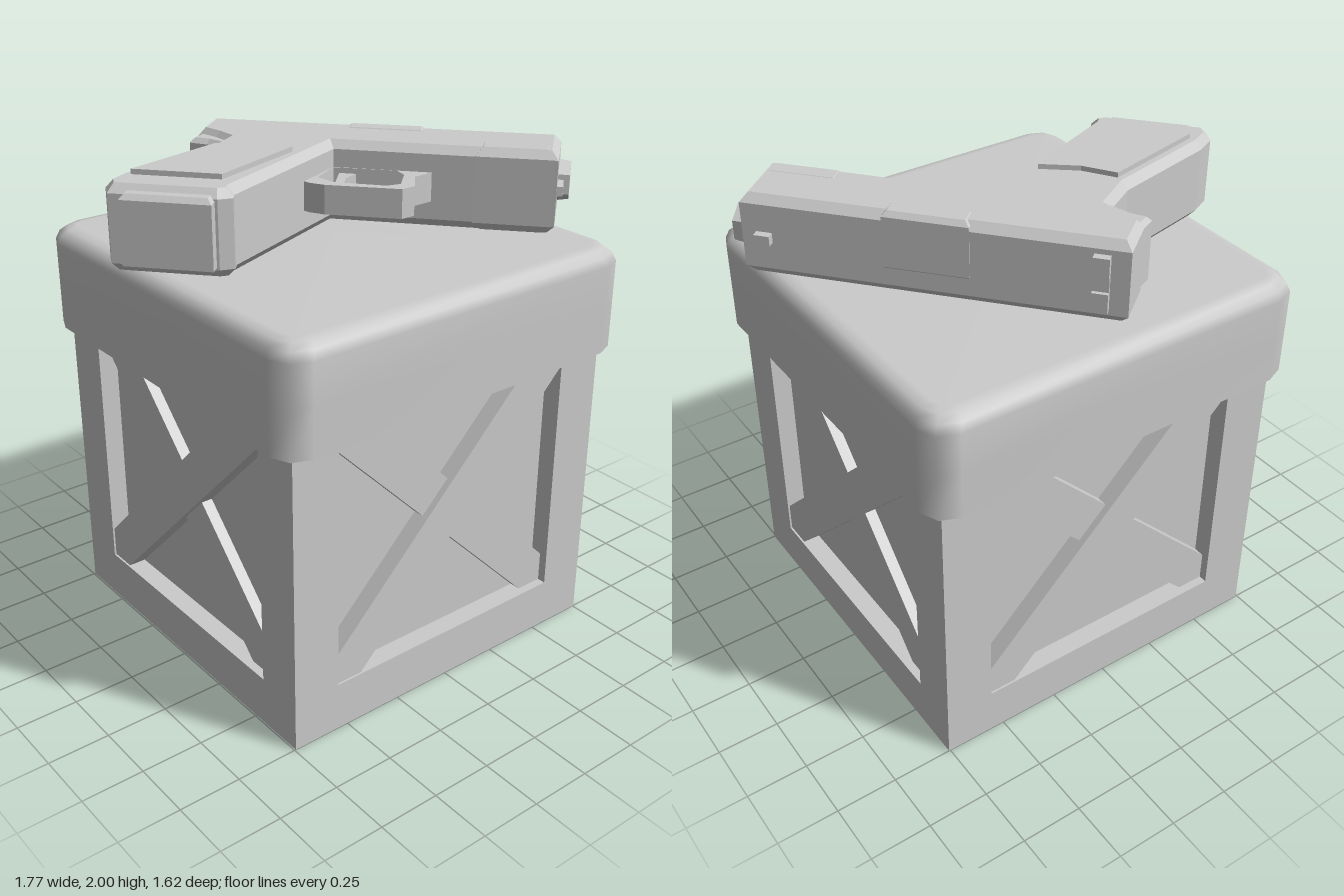
import * as THREE from 'three';
import { mergeGeometries } from 'three/addons/utils/BufferGeometryUtils.js';

const flat = new THREE.MeshStandardMaterial({ color: 0xcccccc, flatShading: true });
const shell = new THREE.MeshStandardMaterial({ color: 0xcccccc, flatShading: true, side: THREE.DoubleSide });
const smooth = new THREE.MeshStandardMaterial({ color: 0xcccccc, side: THREE.DoubleSide });

function add(parent, name, geometry, material = flat) {
  const mesh = new THREE.Mesh(geometry, material);
  mesh.name = name;
  parent.add(mesh);
  return mesh;
}

const toPoints = (list) => list.map(([x, y]) => new THREE.Vector2(x, y));

// Outline extruded from z0 to z1, chamfered inwards by bevel
function slab(points, z0, z1, bevel = 0, hole) {
  const shape = new THREE.Shape(toPoints(points));
  if (hole) shape.holes.push(new THREE.Path(toPoints(hole)));
  return new THREE.ExtrudeGeometry(shape, {
    depth: z1 - z0 - 2 * bevel, bevelEnabled: bevel > 0, bevelSegments: 1,
    bevelSize: bevel * 0.85, bevelThickness: bevel, bevelOffset: -bevel * 0.85,
  }).translate(0, 0, z0 + bevel);
}

const rect = (x0, x1, y0, y1) => [[x0, y0], [x1, y0], [x1, y1], [x0, y1]];

// One side of the crate: outer frame, recessed panel, crossed braces
function crateSide() {
  const side = new THREE.Group();
  side.name = 'crateSide';
  const half = 0.75, open = 0.55, y0 = 0.2, y1 = 1.31, top = 1.5, depth = 0.08;
  const midY = (y0 + y1) / 2, height = y1 - y0;

  const frame = new THREE.Shape(toPoints(rect(-half, half, 0, top)));
  frame.holes.push(new THREE.Path(toPoints(rect(-open, open, y0, y1))));
  const reveals = [-1, 1].flatMap((s) => [
    new THREE.PlaneGeometry(depth, height).rotateY(-s * Math.PI / 2).translate(s * open, midY, half - depth / 2),
    new THREE.PlaneGeometry(2 * open, depth).rotateX(s * Math.PI / 2).translate(0, midY + s * height / 2, half - depth / 2),
  ]);
  add(side, 'frame', mergeGeometries([
    new THREE.ShapeGeometry(frame).translate(0, 0, half),
    ...reveals,
  ]), shell);
  add(side, 'panel', new THREE.PlaneGeometry(2 * open, height).translate(0, midY, half - depth), shell);

  for (const [s, front] of [[1, 0.742], [-1, 0.715]]) {
    const back = 0.63;
    add(side, 'brace', new THREE.BoxGeometry(1.68, 0.17, front - back)
      .rotateZ(s * Math.PI / 4).translate(0, midY, (front + back) / 2));
  }
  return side;
}

// Lid: rounded-square rings stacked upwards, open underneath
function lidGeometry() {
  const rings = [[0.811, 1.23], [0.811, 1.42], [0.811, 1.585], [0.798, 1.62], [0.77, 1.642], [0.73, 1.65], [0.02, 1.653]];
  const steps = 2, n = 4 * (steps + 1);
  const pos = [], index = [];
  for (const [h, y] of rings) {
    const r = Math.min(0.11, Math.max(h - 0.68, 0.01));
    for (let c = 0; c < 4; c++) {
      for (let i = 0; i <= steps; i++) {
        const t = (c + i / steps) * Math.PI / 2, m = (c + 0.5) * Math.PI / 2;
        pos.push(Math.sign(Math.cos(m)) * (h - r) + r * Math.cos(t), y,
          Math.sign(Math.sin(m)) * (h - r) + r * Math.sin(t));
      }
    }
  }
  for (let k = 0; k < rings.length - 1; k++) {
    for (let i = 0; i < n; i++) {
      const a = k * n + i, b = k * n + (i + 1) % n;
      index.push(a, a + n, b, b, a + n, b + n);
    }
  }
  const last = (rings.length - 1) * n;
  for (let i = 1; i < n - 1; i++) index.push(last, last + i + 1, last + i);
  const g = new THREE.BufferGeometry();
  g.setAttribute('position', new THREE.Float32BufferAttribute(pos, 3));
  g.setIndex(index);
  g.computeVertexNormals();
  return g;
}

// Pistol in its own plane: x runs to the muzzle, y from the slide top to the grip, -z is the upper side
function pistol() {
  const gun = new THREE.Group();
  gun.name = 'pistol';
  const t = 0.163;

  add(gun, 'body', slab([
    [0, 0], [1.425, 0], [1.425, 0.287], [0.56, 0.275], [0.33, 0.92], [0.335, 0.96], [0.285, 0.987],
    [-0.115, 0.987], [-0.141, 0.924], [-0.118, 0.838], [0.095, 0.44], [0.126, 0.282], [0.07, 0.235], [-0.01, 0.185],
  ], -t, t, 0.033));
  add(gun, 'tang', slab([[0, 0.17], [0.15, 0.2], [0.17, 0.32], [0.126, 0.31], [0.05, 0.272], [-0.025, 0.257]],
    -0.14, 0.14, 0.02));
  add(gun, 'gripPanel', slab([[-0.068, 0.855], [0.139, 0.465], [0.28, 0.485], [0.436, 0.459], [0.269, 0.857]],
    -0.183, -0.15));
  add(gun, 'magazineBase', slab(rect(-0.06, 0.275, 0.96, 1.03), -0.142, 0.142, 0.02));

  // Trigger and its guard
  add(gun, 'triggerGuard', slab([
    [0.47, 0.26], [0.43, 0.45], [0.51, 0.5], [0.57, 0.515], [0.865, 0.515], [0.905, 0.468], [0.889, 0.349], [0.93, 0.3], [0.97, 0.25],
  ], -0.058, 0.058, 0, [
    [0.56, 0.28], [0.525, 0.42], [0.595, 0.474], [0.8, 0.482], [0.85, 0.45], [0.845, 0.33], [0.81, 0.28],
  ]));
  add(gun, 'trigger', slab([[0.58, 0.25], [0.66, 0.25], [0.62, 0.34], [0.625, 0.4], [0.66, 0.45], [0.635, 0.455], [0.59, 0.4]],
    -0.035, 0.035));

  // Slide fittings
  add(gun, 'ejectionPort', slab(rect(0.57, 0.89, -0.004, 0.09), -0.167, 0.075, 0.02));
  add(gun, 'dustCover', slab(rect(1.11, 1.41, 0.17, 0.287), -0.165, 0.165, 0.033));
  add(gun, 'rearSight', slab([
    [-0.11, -0.03], [-0.03, -0.03], [-0.03, -0.015], [0.03, -0.015], [0.03, -0.03], [0.11, -0.03], [0.11, 0.02], [-0.11, 0.02],
  ], 0.07, 0.13).rotateY(Math.PI / 2));
  add(gun, 'frontSight', new THREE.BoxGeometry(0.06, 0.06, 0.04).translate(1.34, 0, 0));
  for (const [name, r, y, length] of [['barrel', 0.085, 0.085, 0.05], ['guideRod', 0.04, 0.215, 0.028]]) {
    add(gun, name, new THREE.CylinderGeometry(r * 0.9, r, length, 6).rotateZ(-Math.PI / 2)
      .translate(1.425 + length / 2 - 0.005, y, 0));
  }

  // Lay it flat across the lid
  const c = 0.656, s = 0.755;
  gun.applyMatrix4(new THREE.Matrix4().makeBasis(
    new THREE.Vector3(c, 0, s), new THREE.Vector3(-s, 0, c), new THREE.Vector3(0, -1, 0),
  ).setPosition(-0.058, 1.817, -0.7));
  return gun;
}

export function createModel() {
  const model = new THREE.Group();
  model.name = 'crateWithPistol';
  const crate = new THREE.Group();
  crate.name = 'crate';
  crate.position.x = 0.006;
  for (let i = 0; i < 4; i++) {
    const side = crateSide();
    side.rotation.y = i * Math.PI / 2;
    crate.add(side);
  }
  add(crate, 'lid', lidGeometry(), smooth);
  model.add(crate, pistol());
  return model;
}
